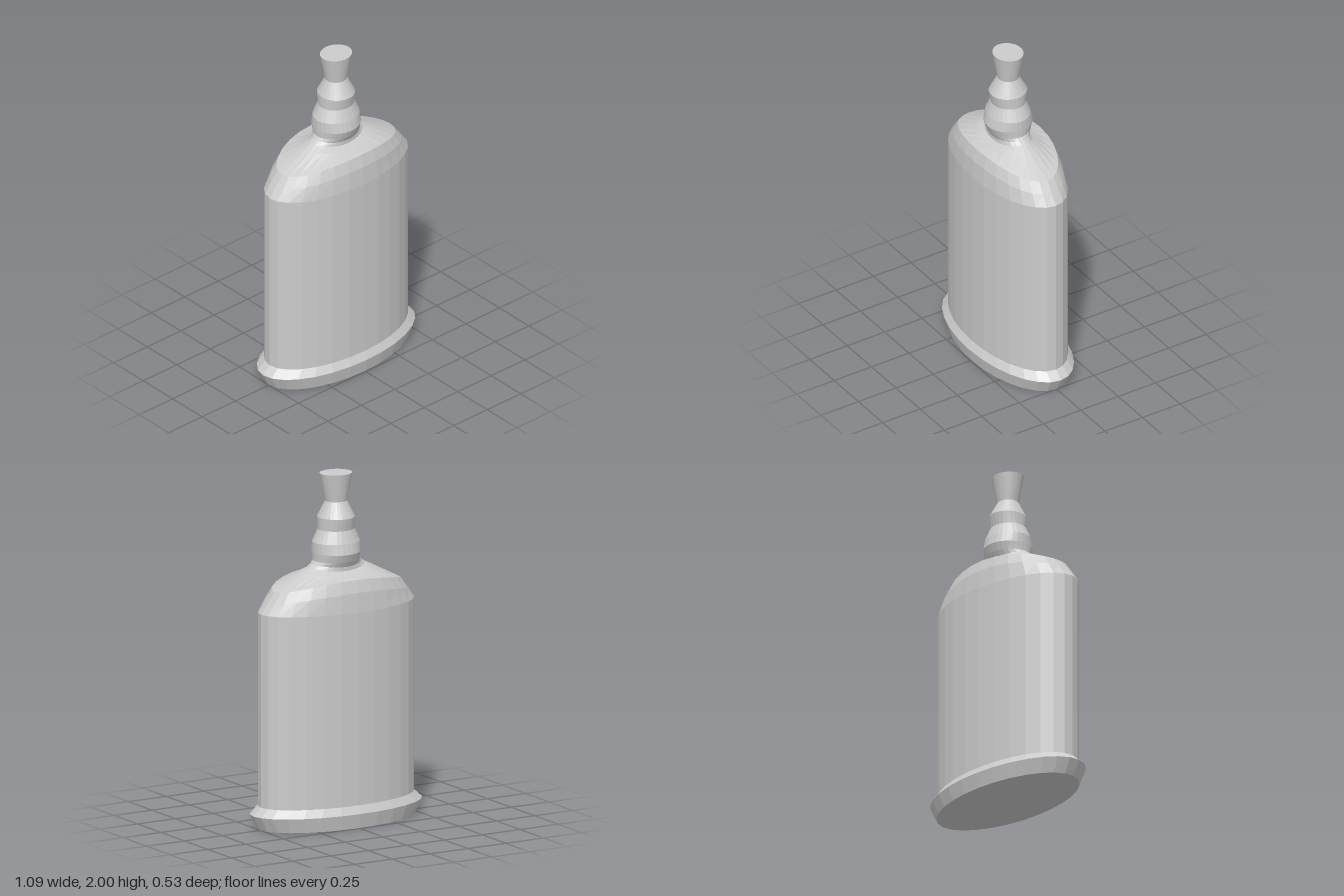
import * as THREE from 'three';

const SIDES = 28;
const material = new THREE.MeshStandardMaterial({ color: 0xcccccc, flatShading: true });

// Skin a stack of elliptical rings. Each ring is [radiusX, radiusZ, y at the
// sides, y at front and back]; a difference in the two heights bows the ring.
function loft(name, rings, { capBottom = false, capTop = false } = {}) {
  const positions = [];
  const indices = [];
  for (const [rx, rz, ySide, yFront = ySide] of rings) {
    for (let i = 0; i < SIDES; i++) {
      const a = (i / SIDES) * Math.PI * 2;
      const y = ySide + (yFront - ySide) * Math.sin(a) ** 2;
      positions.push(rx * Math.cos(a), y, rz * Math.sin(a));
    }
  }
  for (let r = 0; r < rings.length - 1; r++) {
    for (let i = 0; i < SIDES; i++) {
      const j = (i + 1) % SIDES;
      const a = r * SIDES + i, b = r * SIDES + j;
      indices.push(a, a + SIDES, b, b, a + SIDES, b + SIDES);
    }
  }
  const cap = (ring, up) => {
    const centre = positions.length / 3;
    positions.push(0, rings[ring][2], 0);
    for (let i = 0; i < SIDES; i++) {
      const a = ring * SIDES + i, b = ring * SIDES + (i + 1) % SIDES;
      indices.push(centre, up ? b : a, up ? a : b);
    }
  };
  if (capBottom) cap(0, false);
  if (capTop) cap(rings.length - 1, true);

  const geometry = new THREE.BufferGeometry();
  geometry.setAttribute('position', new THREE.Float32BufferAttribute(positions, 3));
  geometry.setIndex(indices);
  geometry.computeVertexNormals();
  const mesh = new THREE.Mesh(geometry, material);
  mesh.name = name;
  return mesh;
}

export function createModel() {
  const bottle = new THREE.Group();
  bottle.name = 'bottle';

  // Flared foot
  const bodyBottom = [0.495, 0.24, 0.13];
  bottle.add(loft('foot', [[0.5, 0.245, 0], [0.545, 0.265, 0.085], bodyBottom], { capBottom: true }));

  // Straight oval body
  const bodyTop = [0.495, 0.24, 1.24];
  bottle.add(loft('body', [bodyBottom, bodyTop]));

  // Shoulder, sloping at the sides and nearly flat at front and back
  const neckBottom = [0.14, 0.12, 1.505];
  bottle.add(loft('shoulder', [
    bodyTop,
    [0.45, 0.231, 1.3, 1.35],
    [0.405, 0.21, 1.36, 1.42],
    [0.23, 0.145, 1.45, 1.437],
    [0.18, 0.105, 1.475, 1.452],
    [0.155, 0.105, 1.49, 1.475],
    neckBottom,
  ]));

  // Ringed neck
  const neckTop = [0.063, 0.06, 1.84];
  bottle.add(loft('neck', [
    neckBottom,
    [0.141, 0.137, 1.55],
    [0.14, 0.123, 1.61],
    [0.106, 0.097, 1.68],
    [0.106, 0.11, 1.75],
    neckTop,
  ]));

  // Flared stopper
  bottle.add(loft('stopper', [neckTop, [0.095, 0.085, 2]], { capTop: true }));

  return bottle;
}
